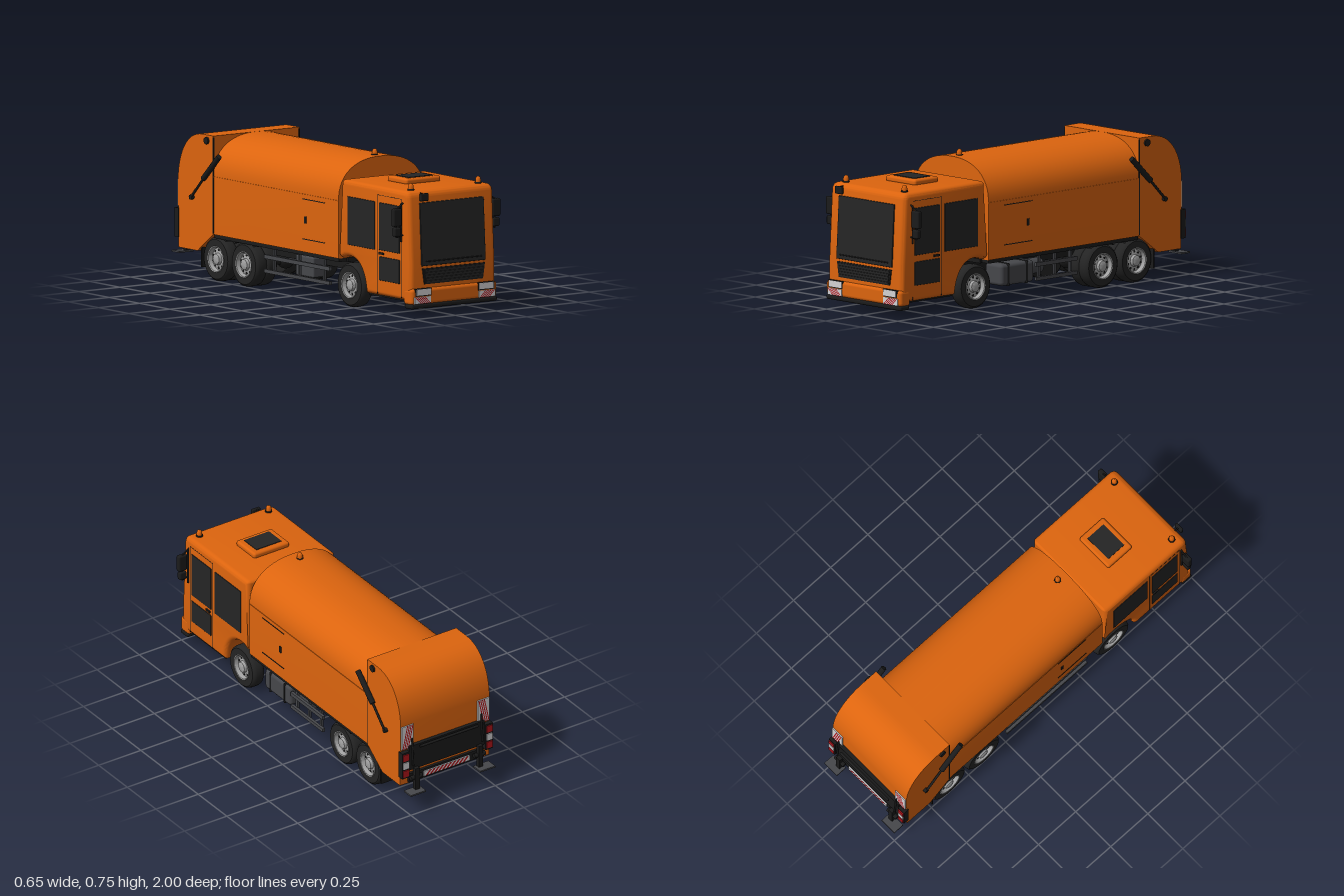
import * as THREE from 'three';
import { toCreasedNormals } from 'three/addons/utils/BufferGeometryUtils.js';
import { RoundedBoxGeometry } from 'three/addons/geometries/RoundedBoxGeometry.js';

const mat = (name, color, side = THREE.FrontSide) => {
  const m = new THREE.MeshStandardMaterial({ color, side });
  m.name = name;
  return m;
};

export function createModel() {
  const truck = new THREE.Group();
  truck.name = 'refuseTruck';
  const orange = mat('orangePaint', 0xdc640e);
  const black = mat('blackPlastic', 0x1b1b1b);
  const glass = mat('darkGlass', 0x252525);
  const rubber = mat('tyreRubber', 0x242424);
  const steel = mat('darkSteel', 0x46474b);
  const silver = mat('rimSilver', 0xa2a2a2);
  const white = mat('lampWhite', 0xd4d2d4);
  const red = mat('signalRed', 0xb0141a, THREE.DoubleSide);

  const add = (name, geo, m, x = 0, y = 0, z = 0, parent = truck) => {
    const mesh = new THREE.Mesh(geo, m);
    mesh.name = name;
    mesh.position.set(x, y, z);
    parent.add(mesh);
    return mesh;
  };
  // box given by its extents
  const box = (name, m, x0, x1, y0, y1, z0, z1, r = 0, parent = truck) => {
    const s = [Math.abs(x1 - x0), y1 - y0, Math.abs(z1 - z0)];
    const geo = r ? new RoundedBoxGeometry(...s, 3, r) : new THREE.BoxGeometry(...s);
    return add(name, geo, m, (x0 + x1) / 2, (y0 + y1) / 2, (z0 + z1) / 2, parent);
  };
  const rod = (name, m, a, b, r) => {
    const p = new THREE.Vector3(...a), q = new THREE.Vector3(...b);
    const mesh = add(name, new THREE.CylinderGeometry(r, r, p.distanceTo(q), 12), m);
    mesh.position.copy(p).add(q).multiplyScalar(0.5);
    mesh.quaternion.setFromUnitVectors(new THREE.Vector3(0, 1, 0), q.sub(p).normalize());
    return mesh;
  };
  // side profile (z, y) extruded across the width
  const sideExtrude = (shape, width, bevel) => {
    const geo = new THREE.ExtrudeGeometry(shape, {
      depth: width - 2 * bevel, curveSegments: 16, bevelEnabled: bevel > 0,
      bevelSize: bevel, bevelThickness: bevel, bevelOffset: -bevel, bevelSegments: 5,
    });
    geo.translate(0, 0, -(width - 2 * bevel) / 2).rotateY(-Math.PI / 2);
    return toCreasedNormals(geo, 0.6);
  };
  // white warning board with slanted red stripes, facing +z
  const warningBoard = (name, w, h, n, dir, x, y, z, back) => {
    const g = new THREE.Group();
    g.name = name;
    g.position.set(x, y, z);
    if (back) g.rotation.y = Math.PI;
    add('boardPlate', new THREE.BoxGeometry(w, h, 0.006), white, 0, 0, 0, g);
    const lean = Math.min(h, w * 0.4), pitch = (w - lean) / n;
    for (let i = 0; i < n; i++) {
      const a = -w / 2 + (i + 0.2) * pitch, b = a + pitch * 0.55;
      const pts = [[a, -h / 2], [b, -h / 2], [b + lean, h / 2], [a + lean, h / 2]];
      const s = new THREE.Shape(pts.map(([px, py]) => new THREE.Vector2(px * dir, py)));
      add('boardStripe', new THREE.ShapeGeometry(s), red, 0, 0, 0.0042, g);
    }
    truck.add(g);
  };

  // Cab shell with front wheel arch
  const cab = new THREE.Shape();
  cab.moveTo(0.41, 0.24).quadraticCurveTo(0.435, 0.255, 0.47, 0.255);
  cab.quadraticCurveTo(0.59, 0.25, 0.61, 0.09);
  cab.lineTo(0.982, 0.09).lineTo(0.982, 0.27).lineTo(0.964, 0.595);
  cab.quadraticCurveTo(0.96, 0.63, 0.925, 0.63);
  cab.lineTo(0.425, 0.63).quadraticCurveTo(0.41, 0.63, 0.41, 0.615);
  add('cabShell', sideExtrude(cab, 0.522, 0.025), orange);
  box('cabFloor', black, -0.245, 0.245, 0.084, 0.094, 0.62, 0.965);

  // Windscreen and grille
  const tilt = -0.056;
  add('windscreen', new RoundedBoxGeometry(0.39, 0.312, 0.008, 2, 0.003), glass, 0, 0.416, 0.976).rotation.x = tilt;
  rod('wiper', black, [-0.17, 0.282, 0.988], [0.17, 0.282, 0.988], 0.003);
  const grille = new THREE.Shape([[-0.178, 0.17], [0.178, 0.17], [0.19, 0.248], [-0.19, 0.248]].map(p => new THREE.Vector2(...p)));
  add('grille', new THREE.ExtrudeGeometry(grille, { depth: 0.008, bevelEnabled: false }), black, 0, 0, 0.979);
  for (let i = 0; i < 5; i++) {
    const w = 0.172 + i * 0.002;
    box('grilleSlat', glass, -w, w, 0.177 + i * 0.014, 0.185 + i * 0.014, 0.984, 0.992);
  }

  // Bumper with lamps and boards
  box('bumper', orange, -0.262, 0.262, 0.07, 0.152, 0.92, 0.994, 0.018);
  box('bumperLip', black, -0.262, 0.262, 0.052, 0.076, 0.93, 0.994, 0.01);
  for (const s of [-1, 1]) {
    box('headlampFrame', black, s * 0.143, s * 0.24, 0.114, 0.152, 0.985, 0.996);
    box('headlamp', white, s * 0.147, s * 0.234, 0.119, 0.149, 0.99, 0.999);
    warningBoard('frontBoard', 0.1, 0.034, 6, s, s * 0.196, 0.094, 0.995);
  }

  // Roof hatch
  box('roofHatchFrame', orange, -0.105, 0.105, 0.625, 0.656, 0.578, 0.74, 0.012);
  box('roofHatchGlass', glass, -0.074, 0.074, 0.652, 0.659, 0.606, 0.714);

  // Warning beacons
  const domePts = [[0.014, 0], [0.014, 0.012], [0.011, 0.022], [0.006, 0.027], [0, 0.028]].map(p => new THREE.Vector2(...p));
  const beacon = (x, y, z) => {
    add('beaconBase', new THREE.CylinderGeometry(0.017, 0.018, 0.01, 16), black, x, y + 0.004, z);
    add('beaconDome', new THREE.LatheGeometry(domePts, 16), orange, x, y + 0.008, z);
  };
  beacon(-0.205, 0.628, 0.91);
  beacon(0.205, 0.628, 0.91);
  beacon(0, 0.716, 0.335);

  // Cab sides: glazing, door seams, mirrors
  for (const s of [-1, 1]) {
    const pane = (name, y0, y1, z0, z1) => box(name, glass, s * 0.257, s * 0.264, y0, y1, z0, z1, 0.003);
    pane('doorWindow', 0.318, 0.553, 0.724, 0.895);
    pane('lowerDoorWindow', 0.168, 0.286, 0.724, 0.895);
    pane('rearCabWindow', 0.314, 0.553, 0.464, 0.692);
    const seam = (y0, y1, z0, z1) => box('doorSeam', black, s * 0.256, s * 0.2618, y0, y1, z0, z1);
    seam(0.1, 0.59, 0.709, 0.711);
    seam(0.1, 0.59, 0.906, 0.908);
    seam(0.588, 0.59, 0.709, 0.908);
    box('doorHandle', black, s * 0.258, s * 0.268, 0.297, 0.307, 0.73, 0.765);
    box('mirror', black, s * 0.275, s * 0.326, 0.46, 0.548, 0.908, 0.935, 0.008);
    box('wideMirror', black, s * 0.28, s * 0.32, 0.41, 0.454, 0.908, 0.935, 0.008);
    rod('mirrorArm', black, [s * 0.25, 0.578, 0.92], [s * 0.3, 0.545, 0.92], 0.004);
    rod('mirrorArm', black, [s * 0.25, 0.415, 0.92], [s * 0.3, 0.405, 0.92], 0.004);
    rod('mirrorPost', black, [s * 0.3, 0.403, 0.92], [s * 0.3, 0.55, 0.92], 0.004);
    rod('grabRail', black, [s * 0.268, 0.38, 0.915], [s * 0.268, 0.57, 0.915], 0.005);
  }
  box('frontMirror', black, -0.203, -0.154, 0.582, 0.62, 0.975, 0.992, 0.006);
  rod('frontMirrorArm', black, [-0.18, 0.615, 0.982], [-0.18, 0.618, 0.94], 0.004);

  // Refuse body with arched roof
  const section = [[-0.261, 0.235], [0.261, 0.235], [0.261, 0.52]];
  for (let i = 1; i < 32; i++) {
    const a = i / 32 * Math.PI, p = 2 / 2.3, c = Math.cos(a);
    section.push([0.261 * Math.sign(c) * Math.abs(c) ** p, 0.52 + 0.202 * Math.sin(a) ** p]);
  }
  section.push([-0.261, 0.52]);
  const bodyGeo = new THREE.ExtrudeGeometry(new THREE.Shape(section.map(p => new THREE.Vector2(...p))), { depth: 1.03, bevelEnabled: false });
  add('refuseBody', toCreasedNormals(bodyGeo, 0.6), orange, 0, 0, -0.64);

  // Tailgate
  const gate = new THREE.Shape();
  gate.moveTo(-0.64, 0.235).lineTo(-0.64, 0.722).lineTo(-0.73, 0.722);
  gate.bezierCurveTo(-0.85, 0.722, -0.925, 0.62, -0.93, 0.48);
  gate.lineTo(-0.925, 0.14).lineTo(-0.77, 0.14);
  add('tailgate', sideExtrude(gate, 0.526, 0), orange);

  for (const s of [-1, 1]) {
    // Body side trim and hatch seams
    box('bodyTrim', orange, s * 0.258, s * 0.2635, 0.517, 0.522, -0.64, 0.39);
    box('sideHatchSeam', black, s * 0.258, s * 0.263, 0.495, 0.499, 0.09, 0.28);
    box('sideHatchSeam', black, s * 0.258, s * 0.263, 0.297, 0.301, 0.09, 0.28);
    box('sideHatchHandle', black, s * 0.258, s * 0.265, 0.378, 0.412, 0.112, 0.126);
    box('tailgateSeam', black, s * 0.258, s * 0.264, 0.24, 0.715, -0.643, -0.638);
    box('bodySill', black, s * 0.2, s * 0.255, 0.217, 0.236, -0.64, 0.385);
    // Tailgate pivot and ram
    rod('tailgatePivot', black, [s * 0.255, 0.694, -0.69], [s * 0.272, 0.694, -0.69], 0.018);
    rod('ramCylinder', black, [s * 0.275, 0.628, -0.575], [s * 0.275, 0.505, -0.705], 0.014);
    rod('ramRod', black, [s * 0.275, 0.51, -0.7], [s * 0.275, 0.402, -0.807], 0.006);
    rod('ramEnd', black, [s * 0.255, 0.402, -0.807], [s * 0.28, 0.402, -0.807], 0.012);
    // Rear boards, lamps and step feet
    warningBoard('rearBoard', 0.07, 0.13, 4, s, s * 0.225, 0.41, -0.934, true);
    box('rearLampHousing', black, s * 0.225, s * 0.268, 0.19, 0.335, -0.952, -0.92);
    for (const [y, m] of [[0.2, red], [0.245, white], [0.29, red]])
      box('rearLamp', m, s * 0.23, s * 0.264, y, y + 0.035, -0.957, -0.95);
    box('footPost', black, s * 0.175, s * 0.2, 0.115, 0.235, -0.968, -0.945);
    rod('footHinge', black, [s * 0.155, 0.18, -0.953], [s * 0.22, 0.18, -0.953], 0.012);
    box('footPlate', steel, s * 0.16, s * 0.25, 0.108, 0.116, -1, -0.94);
    rod('handRail', black, [s * 0.205, 0.25, -0.955], [s * 0.205, 0.4, -0.945], 0.005);
  }
  box('rearPanel', black, -0.222, 0.222, 0.225, 0.36, -0.948, -0.925);
  rod('rearBar', black, [-0.17, 0.355, -0.965], [0.17, 0.355, -0.965], 0.007);
  box('rearBeam', black, -0.22, 0.22, 0.15, 0.2, -0.94, -0.91);
  warningBoard('rearStrip', 0.27, 0.028, 10, 1, 0, 0.175, -0.944, true);

  // Chassis frame, gearbox and drive shaft
  for (const s of [-1, 1]) box('frameRail', black, s * 0.075, s * 0.11, 0.155, 0.222, -0.86, 0.8);
  for (const z of [0.3, 0.05, -0.2, -0.52, -0.8]) box('crossMember', black, -0.1, 0.1, 0.165, 0.21, z - 0.02, z + 0.02);
  box('bodySubframe', black, -0.21, 0.21, 0.215, 0.237, -0.68, 0.4);
  box('gearbox', steel, -0.06, 0.06, 0.11, 0.21, 0.3, 0.55, 0.02);
  rod('driveShaft', steel, [0, 0.15, 0.3], [0, 0.125, -0.63], 0.014);

  // Tanks, boxes and side guards
  box('fuelTank', steel, 0.125, 0.245, 0.09, 0.198, 0.06, 0.285, 0.018);
  for (const z of [0.11, 0.235]) box('tankStrap', black, 0.122, 0.248, 0.087, 0.201, z - 0.006, z + 0.006, 0.01);
  rod('airTank', steel, [0.16, 0.15, 0.05], [0.16, 0.15, -0.05], 0.04);
  box('batteryBox', steel, -0.2, -0.115, 0.1, 0.2, -0.05, 0.1, 0.008);
  for (const [s, z0, z1] of [[1, -0.23, 0.05], [-1, -0.24, 0.3]]) {
    box('sideGuardLower', steel, s * 0.235, s * 0.25, 0.092, 0.11, z0, z1);
    box('sideGuardUpper', steel, s * 0.235, s * 0.25, 0.162, 0.182, z0, z1);
    for (const t of [0.12, 0.5, 0.88]) {
      const z = z0 + (z1 - z0) * t;
      box('sideGuardPost', steel, s * 0.225, s * 0.237, 0.092, 0.222, z - 0.007, z + 0.007);
    }
  }

  // Wheels: lathed tyre and dished rim, outer side towards +x
  const lathe = pts => toCreasedNormals(new THREE.LatheGeometry(pts.map(p => new THREE.Vector2(...p)), 36), 0.7).rotateZ(-Math.PI / 2);
  const tyreGeo = lathe([[0, -0.03], [0.06, -0.034], [0.098, -0.034], [0.107, -0.026], [0.11, -0.012], [0.11, 0.012], [0.107, 0.026], [0.098, 0.034], [0.064, 0.034], [0.062, 0.028]]);
  const rimGeo = lathe([[0.066, 0.033], [0.064, 0.037], [0.06, 0.035], [0.055, 0.014], [0.03, 0.02], [0.026, 0.034], [0.018, 0.038], [0, 0.038]]);
  const holeGeo = new THREE.CylinderGeometry(0.006, 0.006, 0.004, 10).rotateZ(-Math.PI / 2);
  const wheel = (s, x, z) => {
    const g = new THREE.Group();
    g.name = 'wheel';
    g.position.set(s * x, 0.113, z);
    if (s < 0) g.rotation.y = Math.PI;
    add('tyre', tyreGeo, rubber, 0, 0, 0, g);
    add('rim', rimGeo, silver, 0, 0, 0, g);
    for (let i = 0; i < 10; i++) {
      const a = i / 10 * Math.PI * 2;
      add('rimHole', holeGeo, black, 0.0165, 0.044 * Math.cos(a), 0.044 * Math.sin(a), g);
    }
    truck.add(g);
  };
  for (const z of [0.472, -0.4, -0.63]) {
    rod('axle', black, [-0.2, 0.113, z], [0.2, 0.113, z], 0.018);
    if (z < 0) add('differential', new THREE.SphereGeometry(0.045, 16, 12), black, 0, 0.118, z);
    for (const s of [-1, 1]) {
      wheel(s, 0.22, z);
      if (z < 0) {
        wheel(s, 0.159, z);
        // Mudguard arc above each rear wheel
        const guard = new THREE.CylinderGeometry(0.124, 0.124, 0.13, 16, 1, true, -0.7, 1.4);
        guard.rotateX(-Math.PI / 2).scale(1, 1, 1).rotateY(Math.PI / 2);
        add('mudguard', guard, mudMat(), s * 0.19, 0.113, z);
      }
    }
  }
  for (const s of [-1, 1]) box('mudFlap', black, s * 0.125, s * 0.255, 0.06, 0.2, -0.752, -0.744);

  function mudMat() {
    black.side = THREE.DoubleSide;
    return black;
  }
  return truck;
}
